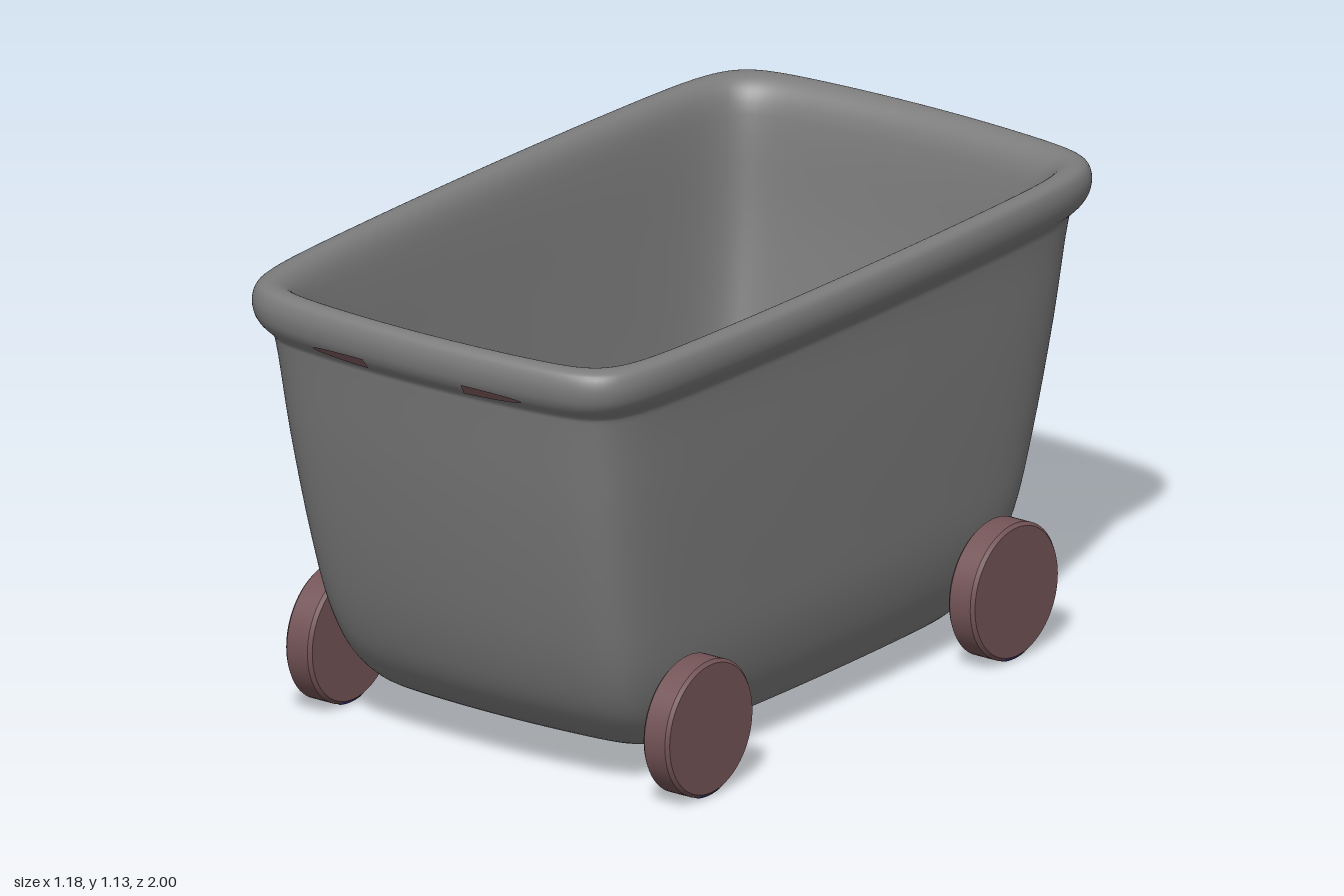
import * as THREE from 'three';
import { toCreasedNormals } from 'three/addons/utils/BufferGeometryUtils.js';

const POWER = 12; // tightness of the tub's corners
const BOW = 0.045; // how far the sides and ends bulge at their middle

// Tub half-sections as [half width, height, half length]: underside, wall, rim, inside, floor
const PROFILE = [
  [0.001, 0.055, 0.002], [0.2, 0.058, 0.32], [0.33, 0.069, 0.5], [0.41, 0.086, 0.63],
  [0.434, 0.13, 0.7], [0.461, 0.2, 0.76], [0.486, 0.31, 0.81], [0.503, 0.48, 0.86],
  [0.525, 0.75, 0.92], [0.542, 0.985, 0.961], [0.547, 1.003, 0.965], [0.57, 1.03, 0.986],
  [0.583, 1.055, 0.997], [0.588, 1.09, 1.0], [0.58, 1.12, 0.99], [0.558, 1.13, 0.97],
  [0.535, 1.124, 0.945], [0.517, 1.1, 0.92], [0.505, 1.05, 0.9], [0.485, 0.8, 0.865],
  [0.462, 0.5, 0.805], [0.44, 0.3, 0.755], [0.415, 0.2, 0.715], [0.375, 0.135, 0.66],
  [0.32, 0.115, 0.58], [0.16, 0.105, 0.3], [0.001, 0.105, 0.002],
];

function makeGeometry(positions, index) {
  const geometry = new THREE.BufferGeometry();
  geometry.setAttribute('position', new THREE.Float32BufferAttribute(positions, 3));
  geometry.setIndex(index);
  geometry.computeVertexNormals();
  return geometry;
}

// Point of the unit footprint in the direction (u, v): a tight-cornered, bowed rectangle
function footprint(u, v) {
  const size = Math.pow(Math.pow(Math.abs(u), POWER) + Math.pow(Math.abs(v), POWER), 1 / POWER);
  const x = u / size;
  const z = v / size;
  return [x * (1 - BOW * z * z), z * (1 - BOW * x * x)];
}

// Closed loop around the footprint, with points gathered at the corners
function footprintLoop(perSide) {
  const loop = [];
  for (let side = 0; side < 4; side++) {
    for (let i = 0; i < perSide; i++) {
      const s = Math.sin((Math.PI / 2) * ((2 * i) / perSide - 1));
      loop.push(footprint(...[[1, s], [-s, 1], [-1, -s], [s, -1]][side]));
    }
  }
  return loop;
}

// Skin the profile with footprint loops
function tubGeometry() {
  const curve = new THREE.CatmullRomCurve3(PROFILE.map((p) => new THREE.Vector3(...p)), false, 'centripetal');
  const rings = curve.getPoints(104);
  const loop = footprintLoop(36);
  const n = loop.length;
  const positions = [];
  const index = [];
  rings.forEach((r, j) => {
    loop.forEach(([u, v], i) => {
      positions.push(r.x * u, r.y, r.z * v);
      if (j === rings.length - 1) return;
      const a = j * n + i;
      const b = j * n + ((i + 1) % n);
      index.push(a, a + n, b, b, a + n, b + n);
    });
  });
  return makeGeometry(positions, index);
}

// Thin tapered mark that follows the underside of the rim
function markGeometry() {
  const positions = [];
  const index = [];
  const n = 12;
  for (let i = 0; i <= n; i++) {
    const u = 0.26 + (0.3 * i) / n;
    const half = 0.012 * Math.sqrt(1 - Math.pow(i / n, 1.5)) + 0.001;
    const [x, z] = footprint(u, 1);
    for (const side of [-1, 1]) {
      const rise = side * half;
      positions.push(x * (0.57 + rise * 0.75), 1.03 + rise, z * (0.986 + rise * 0.65) + 0.003);
    }
    if (i < n) index.push(2 * i, 2 * i + 2, 2 * i + 1, 2 * i + 1, 2 * i + 2, 2 * i + 3);
  }
  return makeGeometry(positions, index);
}

// Turn a [radius, offset] profile about the x axis
function turned(profile, segments, start, sweep) {
  const points = profile.map((p) => new THREE.Vector2(...p));
  const lathe = new THREE.LatheGeometry(points, segments, start, sweep).rotateZ(Math.PI / 2);
  return toCreasedNormals(lathe, 0.6);
}

export function createModel() {
  const tubGrey = new THREE.MeshStandardMaterial({ color: 0x7c7c7c });
  tubGrey.name = 'tubGrey';
  const wheelMauve = new THREE.MeshStandardMaterial({ color: 0x745457, side: THREE.DoubleSide });
  wheelMauve.name = 'wheelMauve';
  const padNavy = new THREE.MeshStandardMaterial({ color: 0x303084, side: THREE.DoubleSide });
  padNavy.name = 'padNavy';

  const model = new THREE.Group();
  model.name = 'wheeledTub';
  const add = (parent, name, geometry, material) => {
    const mesh = new THREE.Mesh(geometry, material);
    mesh.name = name;
    parent.add(mesh);
    return mesh;
  };

  add(model, 'tub', tubGeometry(), tubGrey);

  // Wheel disc with bevelled edges, and a pad lying over the lowest part of its tread
  const radius = 0.166;
  const half = 0.038;
  const bevel = 0.008;
  const tread = [[radius - bevel, -half], [radius, -half + bevel], [radius, half - bevel], [radius - bevel, half]];
  const disc = turned([[0, -half], ...tread, [0, half]], 64, 0, Math.PI * 2);
  const pad = turned(tread.map(([r, x]) => [r + 0.0015, x * 1.01]), 12, -Math.PI / 2 - 0.25, 0.5);
  const mark = markGeometry();

  for (const end of [1, -1]) {
    for (const side of [1, -1]) {
      const label = (end > 0 ? 'front' : 'back') + (side > 0 ? 'Left' : 'Right');

      const wheel = new THREE.Group();
      wheel.name = label + 'Wheel';
      wheel.position.set(side * 0.522, radius + 0.0015, end * 0.583);
      add(wheel, 'wheelDisc', disc, wheelMauve);
      add(wheel, 'groundPad', pad, padNavy);
      model.add(wheel);

      // Mark under the rim
      add(model, label + 'RimMark', mark, wheelMauve).scale.set(side, 1, end);
    }
  }
  return model;
}
